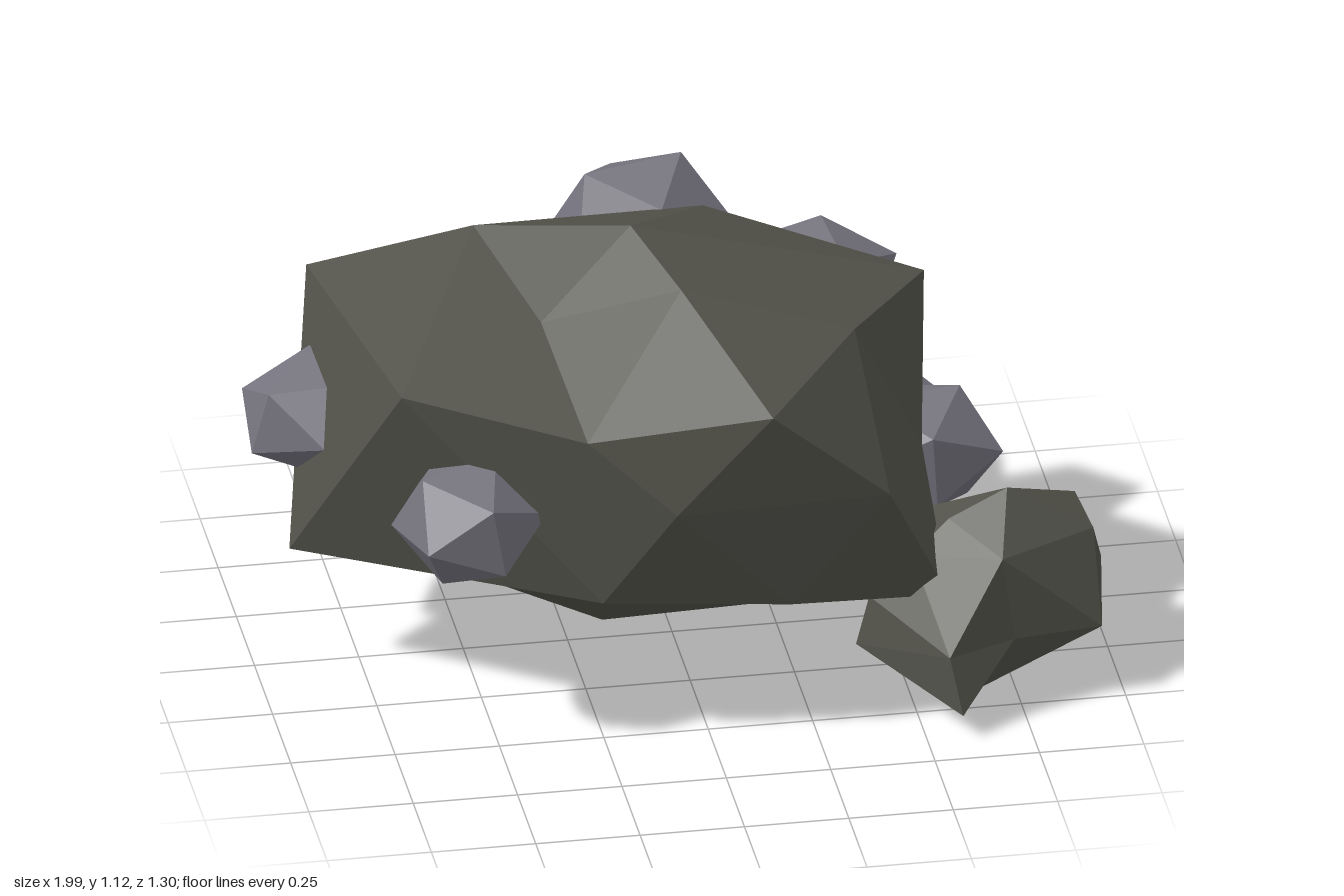
import * as THREE from 'three';
import { ConvexGeometry } from 'three/addons/geometries/ConvexGeometry.js';

const rockMat = new THREE.MeshStandardMaterial({ color: 0x53534b, flatShading: true });
rockMat.name = 'darkStone';
const oreMat = new THREE.MeshStandardMaterial({ color: 0x76747e, flatShading: true });
oreMat.name = 'greyOre';

// Faceted boulder: corners are joined up on an ellipsoid, then moved to their true places,
// so shallow dents survive.
function boulder(name, centre, radii, corners) {
  const c = new THREE.Vector3(...centre);
  const r = new THREE.Vector3(...radii);
  const points = corners.map((p) => new THREE.Vector3(...p));
  const dirs = points.map((p) => p.clone().sub(c).divide(r).normalize());
  const geo = new ConvexGeometry(dirs);
  const pos = geo.attributes.position;
  const v = new THREE.Vector3();
  for (let i = 0; i < pos.count; i++) {
    v.fromBufferAttribute(pos, i);
    let best = 0;
    dirs.forEach((d, k) => {
      if (d.distanceToSquared(v) < dirs[best].distanceToSquared(v)) best = k;
    });
    pos.setXYZ(i, points[best].x, points[best].y, points[best].z);
  }
  geo.computeVertexNormals();
  const mesh = new THREE.Mesh(geo, rockMat);
  mesh.name = name;
  return mesh;
}

// Ore nugget: a stretched, turned icosahedron given by centre and half sizes
function nugget(name, centre, half, turn) {
  const geo = new THREE.IcosahedronGeometry(1.1, 0);
  geo.rotateY(turn);
  geo.rotateZ(turn * 0.5);
  geo.scale(...half);
  const mesh = new THREE.Mesh(geo, oreMat);
  mesh.name = name;
  mesh.position.set(...centre);
  return mesh;
}

export function createModel() {
  const model = new THREE.Group();
  model.name = 'oreRock';

  model.add(boulder('mainBoulder', [-0.12, 0.58, 0.05], [0.8, 0.5, 0.58], [
    // top
    [-0.11, 1.13, 0.06], [-0.03, 1.075, 0.3], [-0.44, 1.02, -0.21], [-0.345, 0.955, 0.18],
    [0.38, 0.95, 0.33], [0.605, 0.91, -0.01], [0.15, 0.9, -0.44],
    // upper rim
    [-0.81, 0.86, -0.38], [-0.71, 0.88, 0.36], [-0.3, 0.83, 0.57], [0.13, 0.9, 0.65],
    // front
    [-0.1, 0.66, 0.65], [0.42, 0.64, 0.59], [-0.26, 0.39, 0.55], [0.2, 0.32, 0.5],
    // sides
    [0.59, 0.27, 0.42], [0.56, 0.57, 0.22], [0.48, 0.57, -0.21], [-0.92, 0.32, 0.02],
    // back
    [-0.45, 0.68, -0.495], [-0.06, 0.56, -0.49], [-0.33, 0.33, -0.52],
    // underside
    [0.32, 0.28, -0.23], [-0.15, 0.25, -0.2], [0.28, 0.2, 0.25], [-0.16, 0.03, -0.04],
    [-0.48, 0.2, 0.0],
  ]));

  model.add(boulder('smallBoulder', [0.7, 0.23, 0.32], [0.3, 0.25, 0.31], [
    // top
    [0.74, 0.51, 0.36], [0.93, 0.4, 0.2], [0.945, 0.39, 0.37], [0.6, 0.44, 0.36],
    [0.51, 0.36, 0.38], [0.58, 0.38, 0.18], [0.81, 0.33, 0.05],
    // front
    [0.7, 0.41, 0.53], [0.945, 0.19, 0.49], [0.73, 0.19, 0.52], [0.56, 0.2, 0.61],
    [0.585, 0.065, 0.65],
    // sides and back
    [1.0, 0.2, 0.16], [0.97, 0.1, 0.3], [0.38, 0.12, 0.35], [0.41, 0.25, 0.36],
    [0.75, 0.19, 0.025], [0.6, 0.2, 0.08],
    // underside
    [0.66, 0.005, 0.41], [0.76, 0.055, 0.27], [0.72, 0.09, 0.12],
  ]));

  const nuggets = [
    ['frontNugget', [-0.56, 0.58, 0.43], [0.17, 0.15, 0.17], 0.3],
    ['rightSideNugget', [-0.815, 0.59, -0.145], [0.19, 0.14, 0.165], 0.9],
    ['backNugget', [0.015, 0.82, -0.515], [0.21, 0.18, 0.145], 0.2],
    ['upperLeftNugget', [0.39, 0.73, -0.35], [0.2, 0.135, 0.15], 0.6],
    ['lowerLeftNugget', [0.43, 0.445, -0.26], [0.225, 0.16, 0.175], 0.4],
    ['leftSideNugget', [0.585, 0.455, 0.015], [0.195, 0.155, 0.155], 0.1],
  ];
  nuggets.forEach((n) => model.add(nugget(...n)));

  return model;
}
